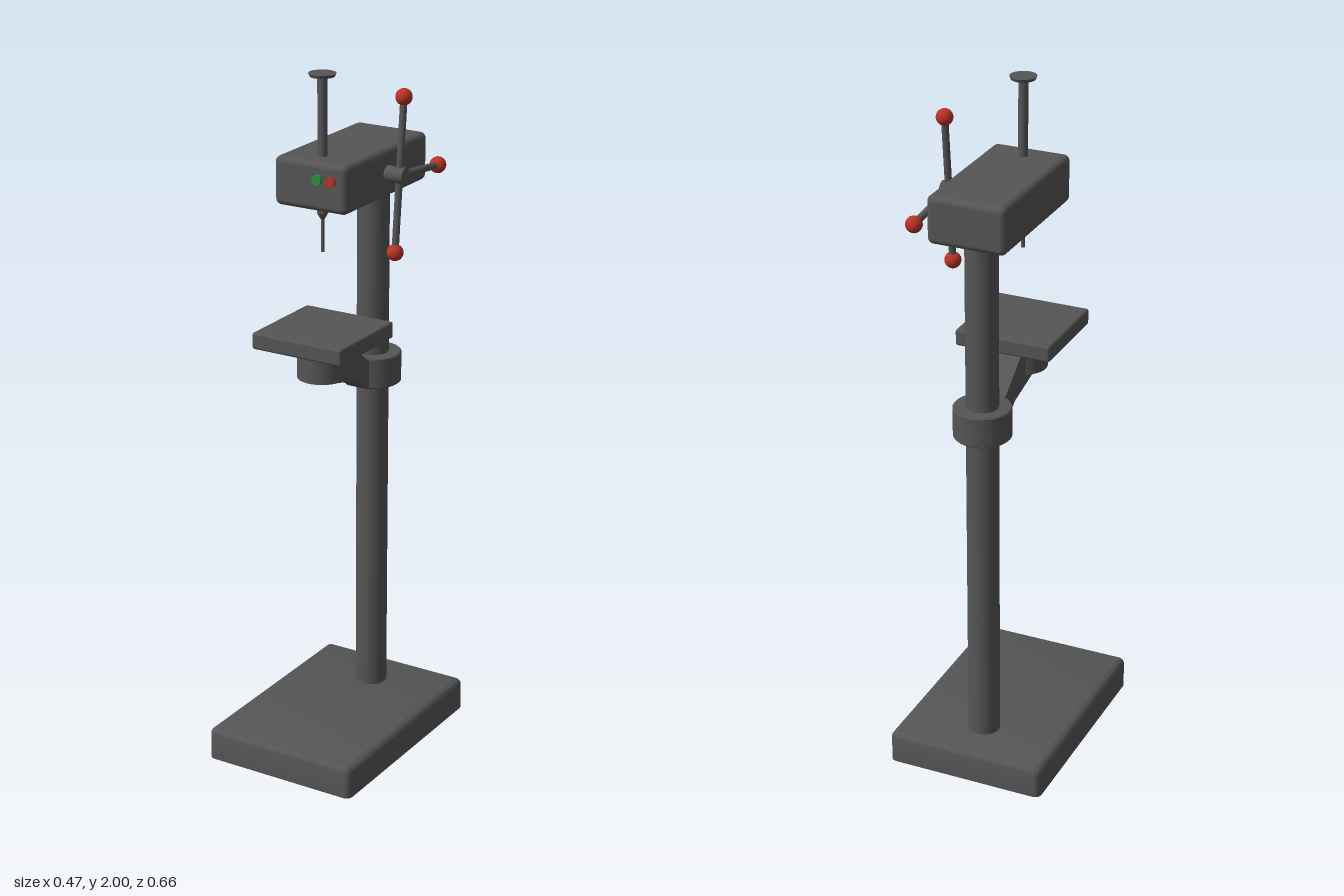
import * as THREE from 'three';
import { RoundedBoxGeometry } from 'three/addons/geometries/RoundedBoxGeometry.js';
import { toCreasedNormals } from 'three/addons/utils/BufferGeometryUtils.js';

const metal = new THREE.MeshStandardMaterial({ color: 0x555555 });
const red = new THREE.MeshStandardMaterial({ color: 0xb83226 });
const green = new THREE.MeshStandardMaterial({ color: 0x2f8f3a });

export function createModel() {
  const model = new THREE.Group();
  model.name = 'benchDrill';

  const add = (name, geometry, x, y, z, material = metal, parent = model) => {
    const mesh = new THREE.Mesh(geometry, material);
    mesh.name = name;
    mesh.position.set(x, y, z);
    parent.add(mesh);
    return mesh;
  };
  // Upright cylinder between two heights
  const post = (name, r, y0, y1, z, rBottom = r) =>
    add(name, new THREE.CylinderGeometry(r, rBottom, y1 - y0, 40), 0, (y0 + y1) / 2, z);

  // Base plate: rounded block with its underside flattened
  const baseGeo = new RoundedBoxGeometry(0.474, 0.12, 0.664, 4, 0.02);
  baseGeo.translate(0, 0.035, 0);
  const pos = baseGeo.attributes.position;
  for (let i = 0; i < pos.count; i++) pos.setY(i, Math.max(0, pos.getY(i)));
  add('base', toCreasedNormals(baseGeo, 0.7), 0, 0, 0);

  // Column with sliding collar
  const columnZ = -0.188;
  post('column', 0.046, 0.09, 1.66, columnZ);
  const collarProfile = [
    [0.046, 1.05], [0.079, 1.05], [0.082, 1.053], [0.082, 1.137], [0.079, 1.14], [0.046, 1.14],
  ].map(([r, y]) => new THREE.Vector2(r, y));
  add('collar', toCreasedNormals(new THREE.LatheGeometry(collarProfile, 48), 0.5), 0, 0, columnZ);

  // Sloping table arm, drawn in side profile (z, y) and extruded across x
  const armWidth = 0.066;
  const armShape = new THREE.Shape([
    [0.15, 1.146], [0.08, 1.2], [0.02, 1.235], [-0.105, 1.14], [-0.145, 1.14],
    [-0.145, 1.052], [-0.105, 1.052], [-0.045, 1.096],
  ].map(([z, y]) => new THREE.Vector2(z, y)));
  const armGeo = new THREE.ExtrudeGeometry(armShape, { depth: armWidth, bevelEnabled: false });
  armGeo.translate(0, 0, -armWidth / 2).rotateY(-Math.PI / 2);
  add('tableArm', armGeo, 0, 0, 0);

  // Work table on its round support
  const spindleZ = 0.082;
  post('tableSupport', 0.069, 1.145, 1.245, 0.087);
  add('table', new RoundedBoxGeometry(0.284, 0.048, 0.284, 3, 0.007), 0, 1.264, 0.081);

  // Head housing
  add('head', new RoundedBoxGeometry(0.228, 0.137, 0.439, 4, 0.018), 0, 1.705, -0.071);

  // Spindle, top knob, chuck and drill bit
  post('spindle', 0.0135, 1.63, 1.992, spindleZ);
  post('spindleKnob', 0.0375, 1.991, 2, spindleZ, 0.034);
  post('chuck', 0.0155, 1.615, 1.645, spindleZ);
  post('chuckNose', 0.0155, 1.598, 1.615, spindleZ, 0.006);
  post('drillBit', 0.005, 1.505, 1.6, spindleZ);

  // Start and stop buttons
  [['startButton', 0.026, green], ['stopButton', 0.068, red]].forEach(([name, x, material]) => {
    const button = add(name, new THREE.CylinderGeometry(0.0145, 0.0145, 0.02, 24), x, 1.727, 0.148, material);
    button.rotation.x = Math.PI / 2;
  });

  // Feed wheel: hub and three spokes tipped with balls
  const feed = new THREE.Group();
  feed.name = 'feedHandle';
  feed.position.set(0.151, 1.705, -0.07);
  model.add(feed);
  const hub = add('hub', new THREE.CylinderGeometry(0.023, 0.023, 0.07, 28), -0.016, 0, 0, metal, feed);
  hub.rotation.z = Math.PI / 2;
  const reach = 0.214;
  [-5.5, -95.5, 174.5].forEach((degrees) => {
    const spoke = new THREE.Group();
    spoke.name = 'spoke';
    spoke.rotation.x = THREE.MathUtils.degToRad(degrees);
    feed.add(spoke);
    add('rod', new THREE.CylinderGeometry(0.01, 0.01, reach, 20), 0, reach / 2, 0, metal, spoke);
    add('ball', new THREE.SphereGeometry(0.0235, 28, 20), 0, reach, 0, red, spoke);
  });

  return model;
}
